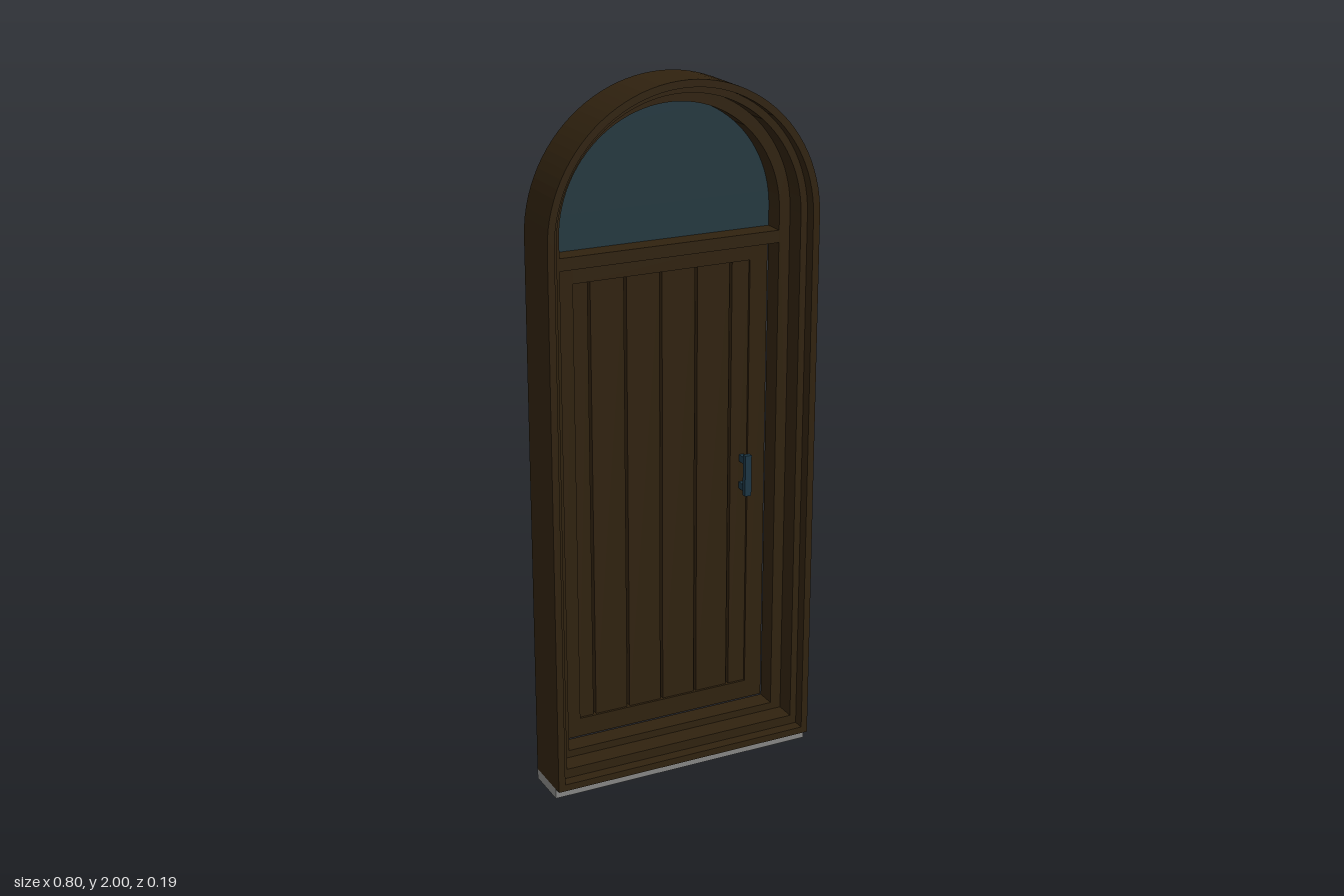
import * as THREE from 'three';

export function createModel() {
  const group = new THREE.Group();
  group.name = 'archedDoor';
  const material = (name, color) => {
    const m = new THREE.MeshStandardMaterial({ color });
    m.name = name;
    return m;
  };
  const wood = material('dark wood', 0x30220f);
  const glass = material('blue glass', 0x243840);
  const iron = material('blue iron', 0x1c3644);
  const stone = material('grey stone', 0x868684);

  const add = (name, geometry, mat, parent = group) => {
    const mesh = new THREE.Mesh(geometry, mat);
    mesh.name = name;
    parent.add(mesh);
    return mesh;
  };
  // Box given by its limits on each axis
  const box = (name, mat, [x0, x1], [y0, y1], [z0, z1], parent) => {
    const g = new THREE.BoxGeometry(x1 - x0, y1 - y0, z1 - z0);
    g.translate((x0 + x1) / 2, (y0 + y1) / 2, (z0 + z1) / 2);
    return add(name, g, mat, parent);
  };
  // Round-headed outline springing from y = 1.6
  const arch = (target, r, bottom) => {
    target.moveTo(-r, bottom);
    target.lineTo(r, bottom);
    target.lineTo(r, 1.6);
    target.absarc(0, 1.6, r, 0, Math.PI, false);
    target.lineTo(-r, bottom);
    return target;
  };
  const extrude = (shape, z0, z1) => {
    const g = new THREE.ExtrudeGeometry(shape, { depth: z1 - z0, bevelEnabled: false, curveSegments: 24 });
    return g.translate(0, 0, z0);
  };

  // Frame: rings that step inward towards the back
  const frame = new THREE.Group();
  frame.name = 'frame';
  group.add(frame);
  const steps = [
    [0.38, 0.05, 0.06, 0.093],
    [0.36, 0.078, 0.0, 0.06],
    [0.327, 0.1, -0.06, 0.0],
  ];
  for (const [r, bottom, z0, z1] of steps) {
    const shape = arch(new THREE.Shape(), 0.4, 0.03);
    shape.holes.push(arch(new THREE.Path(), r, bottom));
    add('frameStep', extrude(shape, z0, z1), wood, frame);
  }
  box('transomBar', wood, [-0.327, 0.327], [1.51, 1.545], [-0.06, 0], frame);

  // Fanlight and threshold
  add('fanlight', extrude(arch(new THREE.Shape(), 0.329, 1.545), -0.077, -0.06), glass);
  box('threshold', stone, [-0.4, 0.4], [0, 0.03], [-0.06, 0.07]);

  // Door leaf: border with separate planks inside
  const door = new THREE.Group();
  door.name = 'door';
  group.add(door);
  for (const s of [-1, 1]) {
    const xs = [s * 0.267, s * 0.321].sort((a, b) => a - b);
    box('stile', wood, xs, [0.107, 1.51], [-0.093, -0.053], door);
  }
  box('bottomRail', wood, [-0.267, 0.267], [0.107, 0.163], [-0.093, -0.053], door);
  box('topRail', wood, [-0.267, 0.267], [1.455, 1.51], [-0.093, -0.053], door);
  const gaps = [-0.218, -0.111, -0.004, 0.104, 0.211];
  for (let i = 0; i <= gaps.length; i++) {
    const x0 = i === 0 ? -0.267 : gaps[i - 1] + 0.004;
    const x1 = i === gaps.length ? 0.267 : gaps[i] - 0.004;
    box('plank', wood, [x0, x1], [0.163, 1.455], [-0.087, -0.06], door);
  }

  // Hinges and handle on the front
  for (const y of [0.32, 1.355]) {
    box('hinge', iron, [-0.332, -0.315], [y - 0.03, y + 0.03], [-0.06, -0.038], door);
  }
  box('handleGrip', iron, [0.24, 0.26], [0.77, 0.893], [-0.03, -0.015], door);
  for (const y of [0.79, 0.873]) {
    box('handlePost', iron, [0.243, 0.257], [y - 0.01, y + 0.01], [-0.06, -0.03], door);
  }
  return group;
}
